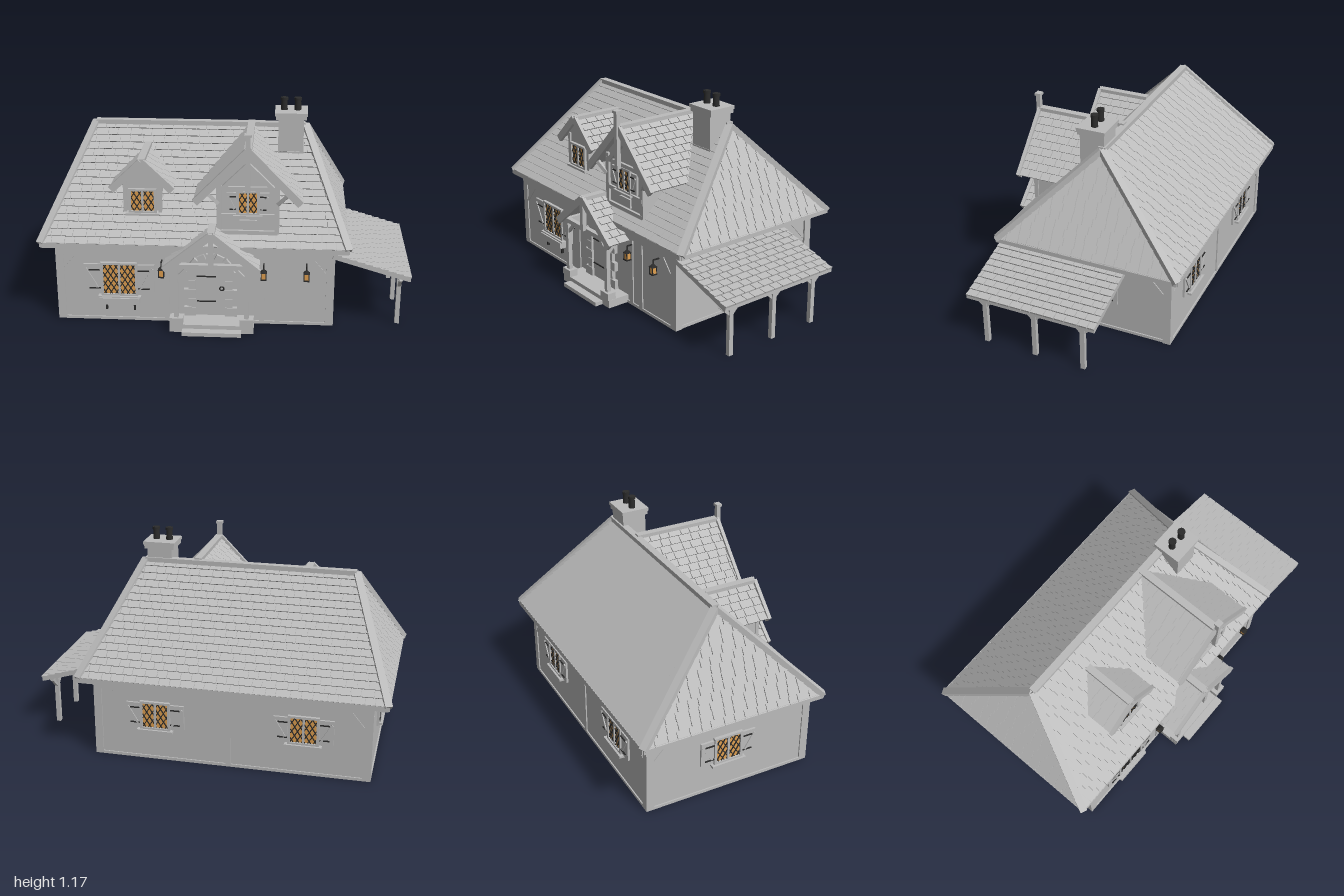
import * as THREE from 'three';

const V = (x, y, z) => new THREE.Vector3(x, y, z);

export function createModel() {
  const root = new THREE.Group();
  root.name = 'cottage';
  const mat = (name, color) => {
    const m = new THREE.MeshStandardMaterial({ color, side: THREE.DoubleSide });
    m.name = name;
    return m;
  };
  const grey = mat('stoneGrey', 0xbcbcbc);
  const black = mat('ironBlack', 0x2b2b2b);
  const amber = mat('amberGlass', 0xe0a050);

  const add = (name, geo, m = grey, parent = root) => {
    const mesh = new THREE.Mesh(geo, m);
    mesh.name = name;
    parent.add(mesh);
    return mesh;
  };
  // Box given by its extents along each axis
  const box = (name, [x0, x1], [y0, y1], [z0, z1], m, parent) => {
    const b = add(name, new THREE.BoxGeometry(x1 - x0, y1 - y0, z1 - z0), m, parent);
    b.position.set((x0 + x1) / 2, (y0 + y1) / 2, (z0 + z1) / 2);
    return b;
  };
  // Square timber between two points
  const beam = (name, a, b, w, h = w, m = grey, parent = root) => {
    const dir = b.clone().sub(a), len = dir.length();
    dir.normalize();
    const up = Math.abs(dir.y) > 0.99 ? V(0, 0, 1) : V(0, 1, 0);
    const x = up.cross(dir).normalize(), y = dir.clone().cross(x);
    const mesh = add(name, new THREE.BoxGeometry(w, h, len), m, parent);
    mesh.quaternion.setFromRotationMatrix(new THREE.Matrix4().makeBasis(x, y, dir));
    mesh.position.copy(a).add(b).multiplyScalar(0.5);
    return mesh;
  };

  // Tiled roof slope: corners counter-clockwise from outside, bottom left first
  const slope = (name, bl, br, tr, tl) => {
    const u = br.clone().sub(bl).normalize();
    const n = u.clone().cross(tl.clone().sub(bl)).normalize();
    const pos = [];
    const quad = (a, b, c, d) => [a, b, c, a, c, d].forEach(p => pos.push(p.x, p.y, p.z));
    const left = t => bl.clone().lerp(tl, t), right = t => br.clone().lerp(tr, t);
    const along = p => p.clone().sub(bl).dot(u);
    const rise = tl.clone().sub(bl), run = rise.dot(u);
    const rows = Math.max(2, Math.round(Math.sqrt(rise.lengthSq() - run * run) / 0.045));
    quad(bl, br, tr, tl);
    for (let r = 0; r < rows; r++) {
      const t0 = r / rows, t1 = (r + 1) / rows;
      const point = (s, t, lift) => {
        const l = left(t), a = along(l), e = along(right(t));
        return l.addScaledVector(u, Math.min(Math.max(s, a), e) - a).addScaledVector(n, lift);
      };
      const end = Math.max(along(right(t0)), along(right(t1)));
      let s = Math.min(along(left(t0)), along(left(t1))) - (r % 2) * 0.032;
      for (let i = 0; s < end; i++) {
        const w = 0.064 + 0.012 * Math.sin(i * 2.3 + r * 1.7), e = s + w - 0.004;
        const a = point(s, t0, 0.011), b = point(e, t0, 0.011);
        const c = point(e, t1, 0.003), d = point(s, t1, 0.003);
        if (a.distanceTo(b) + c.distanceTo(d) > 0.004) {
          const a0 = point(s, t0, 0), b0 = point(e, t0, 0), c0 = point(e, t1, 0), d0 = point(s, t1, 0);
          quad(a, b, c, d); quad(a0, b0, b, a); quad(b0, c0, c, b); quad(d0, a0, a, d);
        }
        s += w;
      }
    }
    const g = new THREE.BufferGeometry();
    g.setAttribute('position', new THREE.Float32BufferAttribute(pos, 3));
    g.computeVertexNormals();
    return add(name, g);
  };

  // Front-facing gable roof with bargeboards and ridge cap
  const gableRoof = (name, x, hw, ye, yr, zf, zEave, zRidge) => {
    slope(name + 'RightSlope', V(x + hw, ye, zf), V(x + hw, ye, zEave), V(x, yr, zRidge), V(x, yr, zf));
    slope(name + 'LeftSlope', V(x - hw, ye, zEave), V(x - hw, ye, zf), V(x, yr, zf), V(x, yr, zRidge));
    beam(name + 'Ridge', V(x, yr + 0.008, zf), V(x, yr + 0.008, zRidge), 0.04, 0.02);
    for (const s of [-1, 1])
      beam(name + 'Bargeboard', V(x + s * hw, ye - 0.005, zf), V(x, yr + 0.005, zf), 0.02, 0.04);
  };

  // Leaded window facing +z, with frame, sill and optional shutters
  const makeWindow = (name, x, y, z, w, h, shutter = 0, turn = 0, inside = true) => {
    const g = new THREE.Group();
    g.name = name;
    g.position.set(x, y, z);
    g.rotation.y = turn;
    root.add(g);
    const a = w / 2, b = h / 2, m = 1.6;
    box('pane', [-a, a], [-b, b], [0.001, 0.007], amber, g);
    if (inside) box('innerPane', [-a, a], [-b, b], [-0.037, -0.031], amber, g);
    for (const s of [-1, 1]) {
      for (let c = -b - m * a + 0.025; c < b + m * a; c += 0.05) {
        const x0 = Math.max(-a, (-b - c) / m), x1 = Math.min(a, (b - c) / m);
        if (x1 - x0 > 0.006)
          beam('lattice', V(s * x0, m * x0 + c, 0.009), V(s * x1, m * x1 + c, 0.009), 0.005, 0.005, black, g);
      }
      box('frameSide', s < 0 ? [-a - 0.014, -a] : [a, a + 0.014], [-b - 0.012, b + 0.012], [0, 0.018], grey, g);
      box('frameRail', [-a, a], s < 0 ? [-b - 0.012, -b] : [b, b + 0.012], [0, 0.018], grey, g);
      if (!shutter) continue;
      const x0 = a + 0.016, x1 = x0 + shutter;
      const span = (p, q) => (s < 0 ? [-q, -p] : [p, q]);
      box('shutter', span(x0, x1), [-b, b], [0, 0.012], grey, g);
      beam('shutterBrace', V(s * (x0 + 0.008), -b + 0.02, 0.014), V(s * (x1 - 0.008), b - 0.02, 0.014), 0.008, 0.012, grey, g);
      for (const k of [-0.62, 0.62])
        box('strapHinge', span(x0, x0 + shutter * 0.7), [k * b - 0.003, k * b + 0.003], [0.012, 0.018], black, g);
    }
    box('mullion', [-0.006, 0.006], [-b, b], [0, 0.016], grey, g);
    box('sill', [-a - 0.03, a + 0.03], [-b - 0.022, -b - 0.01], [0, 0.03], grey, g);
  };

  // Walls
  box('frontWall', [-0.92, 0.58], [0, 0.47], [0.395, 0.425]);
  box('backWall', [-0.92, 0.58], [0, 0.47], [-0.535, -0.505]);
  box('leftWall', [0.55, 0.58], [0, 0.47], [-0.505, 0.395]);
  box('rightWall', [-0.92, -0.89], [0, 0.47], [-0.505, 0.395]);

  // Timber frame
  for (const x of [-0.905, 0.57]) for (const z of [-0.52, 0.41])
    box('cornerPost', [x - 0.022, x + 0.022], [0, 0.45], [z - 0.022, z + 0.022]);
  for (const [z, posts] of [[0.42, [-0.32, 0.20, 0.285]], [-0.53, [-0.16]]]) {
    for (const x of posts) box('wallPost', [x - 0.014, x + 0.014], [0, 0.45], [z - 0.012, z + 0.012]);
    box('topPlate', [-0.9, 0.57], [0.39, 0.44], [z - 0.012, z + 0.012]);
    box('groundSill', [-0.9, 0.57], [0, 0.016], [z - 0.012, z + 0.012]);
    for (const [x, s] of [[-0.885, 1], [0.55, -1]])
      beam('wallBrace', V(x, 0.29, z), V(x + s * 0.09, 0.4, z), 0.02);
  }
  for (const x of [-0.915, 0.575]) {
    box('topPlate', [x - 0.012, x + 0.012], [0.39, 0.44], [-0.52, 0.41]);
    box('groundSill', [x - 0.012, x + 0.012], [0, 0.016], [-0.52, 0.41]);
    for (const [z, s] of [[-0.5, 1], [0.39, -1]])
      beam('wallBrace', V(x, 0.29, z), V(x, 0.4, z + s * 0.1), 0.02);
  }

  // Hipped main roof
  const E = [V(-1, 0.46, 0.455), V(0.66, 0.46, 0.455), V(0.66, 0.46, -0.595), V(-1, 0.46, -0.595)];
  const R = [V(-0.76, 0.995, -0.07), V(0.42, 0.995, -0.07)];
  slope('frontRoof', E[0], E[1], R[1], R[0]);
  slope('backRoof', E[2], E[3], R[0], R[1]);
  slope('leftHip', E[1], E[2], R[1], R[1]);
  slope('rightHip', E[3], E[0], R[0], R[0]);
  E.forEach((p, i) => {
    const q = E[(i + 1) % 4], d = V(0, -0.006, 0);
    beam('fascia', p.clone().add(d), q.clone().add(d), 0.014, 0.032);
    beam('hipCap', p, R[i === 1 || i === 2 ? 1 : 0], 0.04, 0.03);
  });
  beam('ridgeCap', R[0], R[1], 0.04, 0.03);

  // Chimney with two pots
  box('chimneyShaft', [0.27, 0.41], [0.8, 1.065], [-0.08, 0.06]);
  box('chimneyCap', [0.255, 0.425], [1.06, 1.082], [-0.087, 0.067]);
  box('chimneyCapTop', [0.25, 0.43], [1.082, 1.1], [-0.092, 0.072]);
  for (const x of [0.3, 0.375]) {
    const pot = add('chimneyPot', new THREE.CylinderGeometry(0.016, 0.019, 0.07, 16), black);
    pot.position.set(x, 1.135, -0.01);
    add('potRim', new THREE.CylinderGeometry(0.021, 0.021, 0.014, 16), black).position.set(x, 1.162, -0.01);
  }

  // Gabled wall of a dormer
  const gableWall = (name, x, hw, y0, y1, y2, zf, depth) => {
    const pts = [[-hw, y0], [hw, y0], [hw, y1], [0, y2], [-hw, y1]].map(p => new THREE.Vector2(...p));
    const g = new THREE.ExtrudeGeometry(new THREE.Shape(pts), { depth, bevelEnabled: false });
    add(name, g).position.set(x, 0, zf - depth);
  };

  // Large cross gable
  gableRoof('crossGable', 0.12, 0.28, 0.72, 1.0, 0.445, 0.2, -0.07);
  gableWall('crossGableWall', 0.12, 0.16, 0.52, 0.83, 0.985, 0.4, 0.24);
  for (const s of [-1, 1]) {
    box('gablePost', [0.12 + s * 0.155 - 0.013, 0.12 + s * 0.155 + 0.013], [0.53, 0.82], [0.39, 0.414]);
    beam('gableBrace', V(0.12 + s * 0.13, 0.79, 0.41), V(0.12, 0.92, 0.41), 0.024);
    beam('eaveBracket', V(0.12 + s * 0.16, 0.7, 0.41), V(0.12 + s * 0.22, 0.77, 0.44), 0.02);
  }
  for (const y of [0.535, 0.63, 0.785]) box('gableRail', [-0.04, 0.28], [y - 0.011, y + 0.011], [0.395, 0.415]);
  box('gablePanel', [0.075, 0.17], [0.555, 0.605], [0.4, 0.412]);
  box('kingPost', [0.107, 0.133], [0.78, 1.09], [0.44, 0.464]);
  box('finialCap', [0.101, 0.139], [1.085, 1.1], [0.435, 0.469]);
  makeWindow('gableWindow', 0.12, 0.705, 0.401, 0.095, 0.115, 0.05, 0, false);

  // Small dormer
  gableRoof('dormer', -0.455, 0.165, 0.745, 0.895, 0.345, 0.18, 0.04);
  gableWall('dormerWall', -0.455, 0.1, 0.59, 0.8, 0.88, 0.315, 0.2);
  makeWindow('dormerWindow', -0.455, 0.67, 0.316, 0.125, 0.115, 0, 0, false);
  for (const s of [-1, 1])
    box('dormerPost', [-0.455 + s * 0.095 - 0.01, -0.455 + s * 0.095 + 0.01], [0.59, 0.79], [0.305, 0.325]);

  // Ground floor windows
  makeWindow('frontWindow', -0.58, 0.25, 0.426, 0.175, 0.175, 0.09);
  makeWindow('backWindow', 0.245, 0.26, -0.536, 0.14, 0.14, 0.075, Math.PI);
  makeWindow('backWindow', -0.565, 0.26, -0.536, 0.14, 0.14, 0.075, Math.PI);
  makeWindow('leftWindow', -0, 0.24, 0, 0.14, 0.14, 0.075, Math.PI / 2);
  root.children.at(-1).position.set(0.581, 0.24, -0.07);
  makeWindow('rightWindow', -0.921, 0.25, -0.07, 0.14, 0.14, 0.075, -Math.PI / 2);
  box('flowerBox', [-0.69, -0.47], [0.108, 0.145], [0.425, 0.465]);
  for (const x of [-0.655, -0.5]) box('boxBracket', [x - 0.005, x + 0.005], [0.065, 0.108], [0.425, 0.44], black);

  // Arched door with stone surround
  const dx = -0.08, door = new THREE.Shape();
  door.moveTo(-0.08, 0.04).lineTo(0.08, 0.04).lineTo(0.08, 0.3);
  door.absellipse(0, 0.3, 0.08, 0.07, 0, Math.PI, false);
  add('door', new THREE.ExtrudeGeometry(door, { depth: 0.045, bevelEnabled: false, curveSegments: 10 })).position.set(dx, 0, 0.388);
  for (const y of [0.13, 0.28]) box('doorHinge', [dx - 0.075, dx + 0.03], [y - 0.003, y + 0.003], [0.433, 0.439], black);
  const ring = add('doorRing', new THREE.TorusGeometry(0.011, 0.004, 6, 14), black);
  ring.position.set(dx + 0.062, 0.21, 0.438);
  for (const s of [-1, 1]) for (let i = 0; i < 5; i++) {
    const w = i % 2 ? 0.04 : 0.065, a = dx + s * 0.08, b = a + s * w;
    box('quoin', [Math.min(a, b), Math.max(a, b)], [0.045 + i * 0.054, 0.096 + i * 0.054], [0.42, 0.447]);
  }
  for (let i = 0; i < 7; i++) {
    const a = (i + 0.5) / 7 * Math.PI;
    const v = add('archStone', new THREE.BoxGeometry(0.05, 0.044, 0.03));
    v.position.set(dx + 0.104 * Math.cos(a), 0.3 + 0.092 * Math.sin(a), 0.433);
    v.rotation.z = a;
  }

  // Porch
  const px = -0.068;
  box('porchSlab', [-0.295, 0.16], [0, 0.045], [0.425, 0.555]);
  box('porchStep', [-0.225, 0.095], [0, 0.022], [0.555, 0.6]);
  gableRoof('porch', px, 0.25, 0.375, 0.57, 0.56, 0.42, 0.42);
  for (const s of [-1, 1]) {
    const x = px + s * 0.19;
    box('postBase', [x - 0.036, x + 0.036], [0.045, 0.085], [0.508, 0.56]);
    box('porchPost', [x - 0.012, x + 0.012], [0.085, 0.4], [0.523, 0.547]);
    box('porchPlate', [x - 0.012, x + 0.012], [0.375, 0.4], [0.42, 0.55]);
    beam('porchBrace', V(x, 0.31, 0.53), V(x, 0.385, 0.455), 0.016);
    beam('porchBrace', V(x, 0.31, 0.535), V(x - s * 0.07, 0.385, 0.535), 0.016);
  }
  box('porchTie', [px - 0.21, px + 0.21], [0.375, 0.4], [0.523, 0.55]);
  box('porchKingPost', [px - 0.013, px + 0.013], [0.39, 0.585], [0.545, 0.57]);

  // Lean-to on the left side
  slope('leanToRoof', V(1, 0.305, 0.45), V(1, 0.305, -0.29), V(0.58, 0.43, -0.29), V(0.58, 0.43, 0.45));
  box('leanToFascia', [0.985, 0.998], [0.287, 0.31], [-0.29, 0.45]);
  box('leanToBeam', [0.933, 0.957], [0.286, 0.311], [-0.28, 0.44]);
  for (const z of [0.443, -0.283]) beam('leanToVerge', V(0.58, 0.422, z), V(0.995, 0.298, z), 0.014, 0.026);
  for (const z of [0.37, 0.08, -0.2]) {
    box('leanToPost', [0.933, 0.957], [0, 0.3], [z - 0.013, z + 0.013]);
    beam('rafter', V(0.58, 0.415, z), V(0.985, 0.294, z), 0.02);
    for (const s of [-1, 1]) beam('postBrace', V(0.945, 0.225, z), V(0.945, 0.295, z + s * 0.075), 0.016);
  }

  // Lanterns
  const lantern = (x, y, z, wall) => {
    const g = new THREE.Group();
    g.name = 'lantern';
    g.position.set(x, y, z);
    root.add(g);
    box('glass', [-0.012, 0.012], [0.004, 0.042], [-0.012, 0.012], amber, g);
    box('base', [-0.016, 0.016], [-0.002, 0.005], [-0.016, 0.016], black, g);
    for (const a of [-1, 1]) for (const b of [-1, 1])
      beam('bar', V(a * 0.013, 0, b * 0.013), V(a * 0.013, 0.042, b * 0.013), 0.004, 0.004, black, g);
    const cap = add('cap', new THREE.ConeGeometry(0.025, 0.022, 4), black, g);
    cap.position.y = 0.052;
    cap.rotation.y = Math.PI / 4;
    beam('hook', V(0, 0.055, 0), V(0, 0.082, 0), 0.006, 0.006, black, g);
    if (wall) beam('arm', V(0, 0.08, 0), V(0, 0.08, -0.04), 0.007, 0.007, black, g);
  };
  for (const x of [-0.345, 0.21, 0.44]) lantern(x, 0.285, 0.463, true);
  lantern(0.775, 0.277, 0.13, false);

  return root;
}
